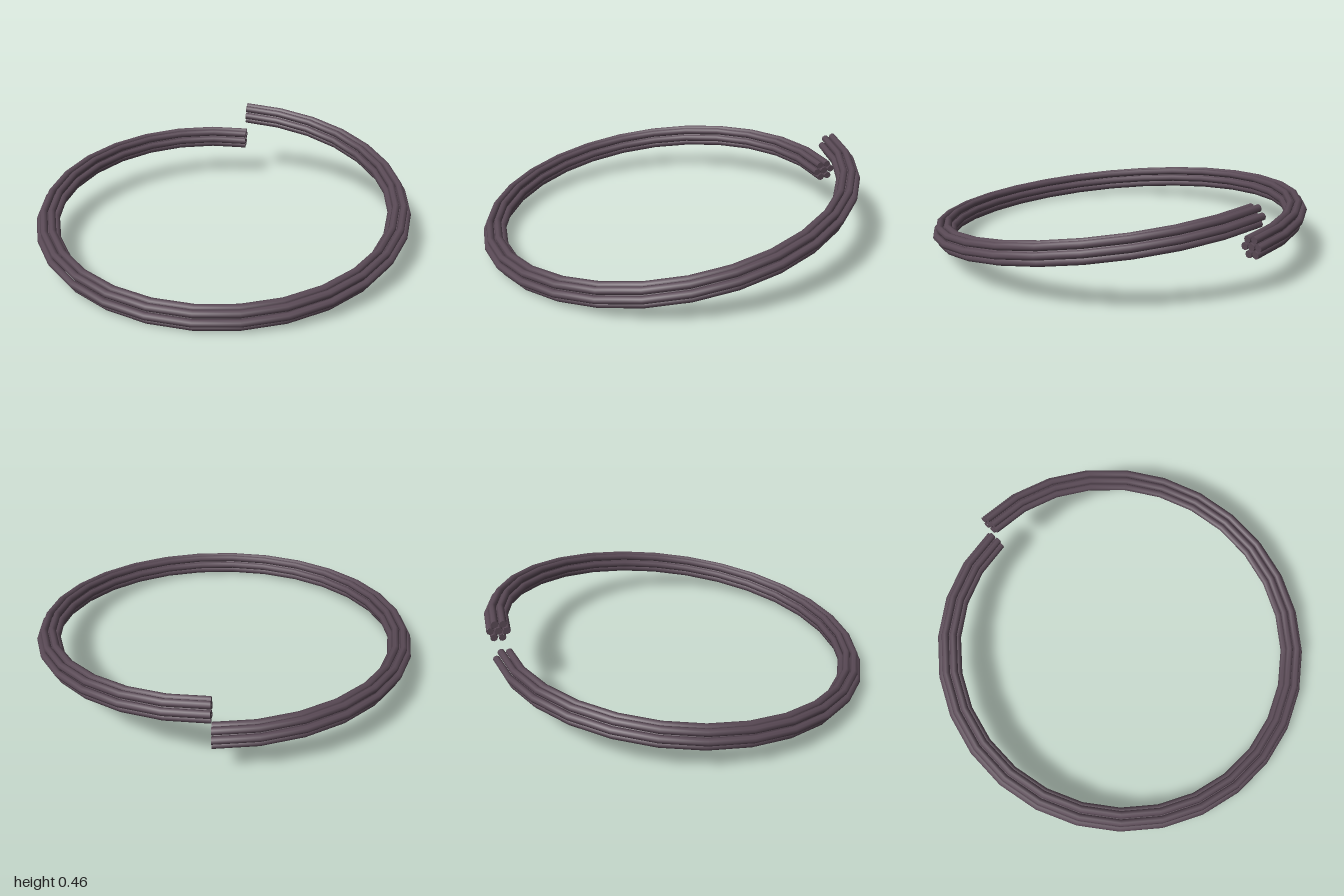
import * as THREE from 'three';

const RADIUS = 0.932;      // ring radius
const STRAND = 0.019;      // radius of one strand
const PACK = 0.042;        // distance of outer strands from the core strand
const STEPS = 28;          // straight pieces round the ring
const SIDES = 8;
const NORMAL = new THREE.Vector3(0.028, 1, 0.14).normalize();

// One strand of an open, tilted, slightly rising ring, offset from the bundle's centre
class StrandCurve extends THREE.Curve {
  constructor(out, up) {
    super();
    this.out = out;
    this.up = up;
  }
  getPoint(t, target = new THREE.Vector3()) {
    const a = (t * 2 - 1) * Math.PI;       // 0 at the front, growing towards +x
    const lift = t * 2 - 1;
    const x = Math.sin(a), z = Math.cos(a);
    const radial = new THREE.Vector3(x, -0.028 * x - 0.14 * z, z).normalize();
    return target
      .set(RADIUS * x - 0.007, 0.191 - 0.026 * x - 0.13 * z + 0.081 * lift, RADIUS * z - 0.008 * lift)
      .addScaledVector(radial, this.out)
      .addScaledVector(NORMAL, this.up);
  }
}

function makeStrand(name, out, up, material) {
  const strand = new THREE.Group();
  strand.name = name;
  const curve = new StrandCurve(out, up);
  const body = new THREE.Mesh(new THREE.TubeGeometry(curve, STEPS, STRAND, SIDES, false), material);
  body.name = 'strandBody';
  strand.add(body);

  // Flat caps on both cut ends
  for (const end of [0, 1]) {
    const cap = new THREE.Mesh(new THREE.CircleGeometry(STRAND, SIDES), material);
    cap.name = end ? 'upperEndCap' : 'lowerEndCap';
    const p = curve.getPoint(end);
    const outward = curve.getTangent(end).multiplyScalar(end ? 1 : -1);
    cap.position.copy(p);
    cap.lookAt(p.clone().add(outward));
    strand.add(cap);
  }
  return strand;
}

export function createModel() {
  const group = new THREE.Group();
  group.name = 'strandRing';
  const material = new THREE.MeshStandardMaterial({ color: 0x5a4a56 });

  // Core strand with six more packed round it
  group.add(makeStrand('coreStrand', 0, 0, material));
  for (let i = 0; i < 6; i++) {
    const a = (i * Math.PI) / 3;
    group.add(makeStrand('outerStrand' + (i + 1), PACK * Math.cos(a), PACK * Math.sin(a), material));
  }
  return group;
}
